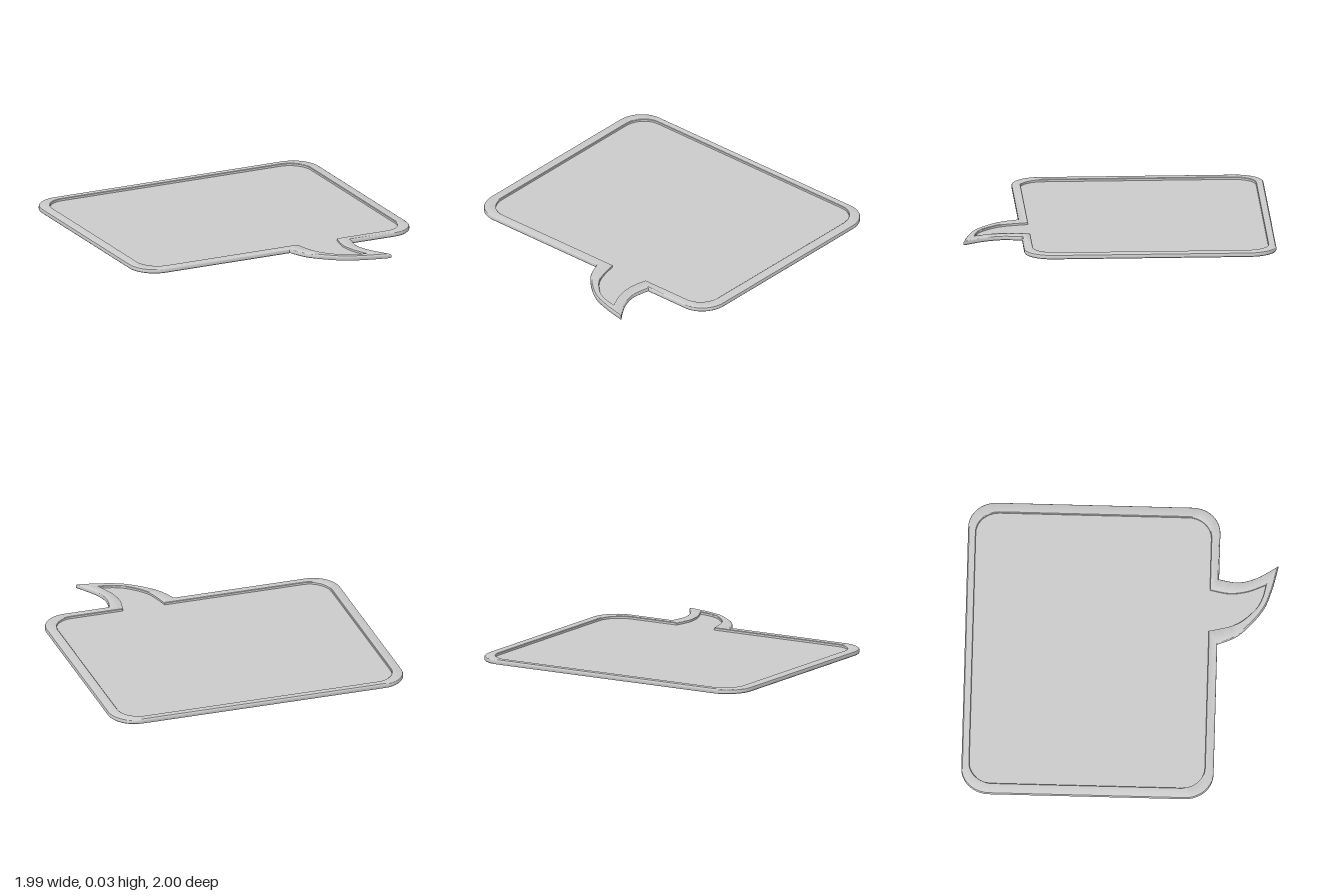
import * as THREE from 'three';
import { toCreasedNormals } from 'three/addons/utils/BufferGeometryUtils.js';

const v = (x, z) => new THREE.Vector2(x, z);

// Speech bubble outline in (x, z): tail first, then the rounded corners
function outline({ x, back, front, rx, rz, tailA, tailB }) {
  const p = new THREE.Path();
  const corner = (cx, cz, x0, z0, x1, z1) => {
    const k = 0.55;
    p.lineTo(x0, z0);
    p.bezierCurveTo(x0 + (cx - x0) * k, z0 + (cz - z0) * k,
      x1 + (cx - x1) * k, z1 + (cz - z1) * k, x1, z1);
  };
  p.moveTo(tailA[0].x, tailA[0].y);
  p.splineThru(tailA.slice(1));
  p.splineThru(tailB);
  corner(x, front, x - rx, front, x, front - rz);
  corner(x, back, x, back + rz, x - rx, back);
  corner(-x, back, -x + rx, back, -x, back + rz);
  corner(-x, front, -x, front - rz, -x + rx, front);
  p.lineTo(tailA[0].x, tailA[0].y);
  const pts = p.getPoints(10);
  pts.pop();
  return pts;
}

// Closed ring whose section runs from the outer outline (t = 0) to the inner (t = 1)
function rimGeometry(outer, inner, section) {
  const n = outer.length, m = section.length, pos = [], idx = [];
  for (let i = 0; i < n; i++) {
    for (const [t, y] of section) {
      const q = outer[i].clone().lerp(inner[i], t);
      pos.push(q.x, y, q.y);
    }
    const a = i * m, b = ((i + 1) % n) * m;
    for (let j = 0; j < m; j++) {
      const k = (j + 1) % m;
      idx.push(a + j, b + j, b + k, a + j, b + k, a + k);
    }
  }
  const g = new THREE.BufferGeometry();
  g.setAttribute('position', new THREE.Float32BufferAttribute(pos, 3));
  g.setIndex(idx);
  return toCreasedNormals(g, 0.6);
}

export function createModel() {
  const group = new THREE.Group();
  group.name = 'speechBubble';
  const material = new THREE.MeshStandardMaterial({ color: 0xcccccc });

  const outer = outline({
    x: 0.993, back: -1, front: 0.62, rx: 0.17, rz: 0.18,
    tailA: [v(0.067, 0.62), v(0.136, 0.76), v(0.295, 0.9), v(0.44, 0.96), v(0.609, 1)],
    tailB: [v(0.525, 0.867), v(0.49, 0.745), v(0.508, 0.62)],
  });
  const inner = outline({
    x: 0.925, back: -0.95, front: 0.563, rx: 0.14, rz: 0.15,
    tailA: [v(0.152, 0.563), v(0.2, 0.734), v(0.295, 0.85), v(0.38, 0.9), v(0.478, 0.923)],
    tailB: [v(0.43, 0.81), v(0.412, 0.69), v(0.434, 0.563)],
  });

  // Raised rim, rounded along its outer top edge
  const section = [[0.05, 0], [0, 0.004], [0, 0.02], [0.04, 0.026], [0.14, 0.03],
    [0.94, 0.03], [1, 0.027], [1, 0.002], [0.96, 0]];
  const rim = new THREE.Mesh(rimGeometry(outer, inner, section), material);
  rim.name = 'rim';
  group.add(rim);

  // Thin panel set into the rim, recessed on both sides
  const plate = new THREE.ExtrudeGeometry(new THREE.Shape(inner), { depth: 0.004, bevelEnabled: false });
  plate.rotateX(Math.PI / 2);
  const panel = new THREE.Mesh(plate, material);
  panel.name = 'panel';
  panel.position.y = 0.014;
  group.add(panel);

  return group;
}
